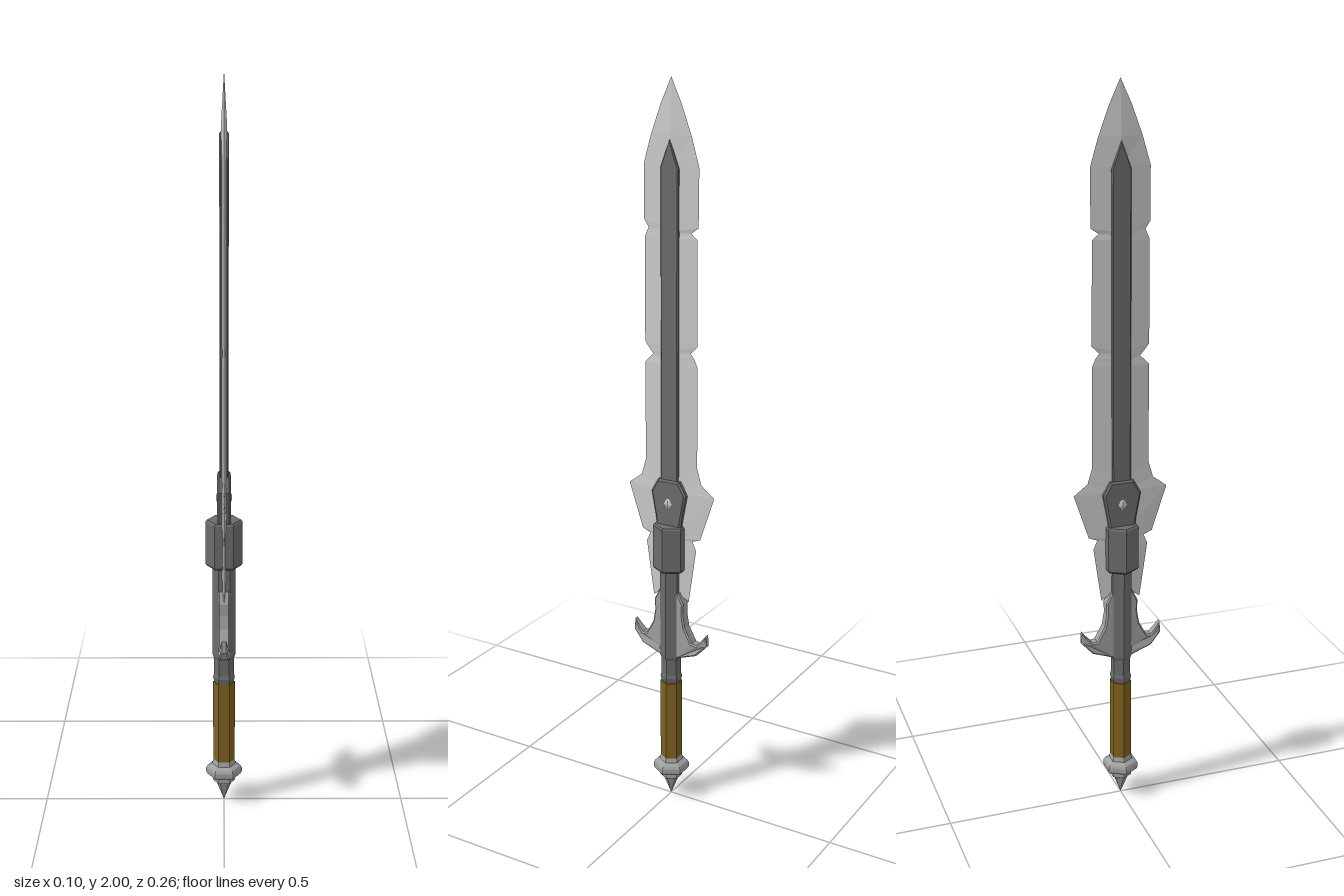
import * as THREE from 'three';

const mat = (color) => new THREE.MeshStandardMaterial({ color, flatShading: true });
const steel = mat(0xcccccc), guardSteel = mat(0xa0a0a0), dark = mat(0x6c6c6c), leather = mat(0x80601f);

function add(group, name, geometry, material) {
  const mesh = new THREE.Mesh(geometry, material);
  mesh.name = name;
  group.add(mesh);
  return mesh;
}

// Six-sided turned piece: profile of [radius, y], corners on the x axis
function hexLathe(profile) {
  const geo = new THREE.LatheGeometry(profile.map(([r, y]) => new THREE.Vector2(r, y)), 6, Math.PI / 2);
  return geo.toNonIndexed();
}

// Symmetric plate in the y-z plane from a half outline of [z, y], with bevelled rims
function plate(half, thickness, bevel) {
  const mirrored = half.filter(([z]) => z > 0).reverse().map(([z, y]) => [-z, y]);
  const shape = new THREE.Shape([...half, ...mirrored].map(([z, y]) => new THREE.Vector2(z, y)));
  const geo = new THREE.ExtrudeGeometry(shape, {
    depth: 2 * (thickness - bevel), bevelEnabled: bevel > 0, bevelSegments: 1,
    bevelThickness: bevel, bevelSize: bevel, bevelOffset: -bevel,
  });
  geo.translate(0, 0, -(thickness - bevel));
  return geo.rotateY(Math.PI / 2);
}

// Diamond-section blade: each edge outline is joined to a central ridge
function bladeGeometry(edges) {
  const pos = [];
  const ridge = (y, f) => [f * 0.008 * Math.min(1, (2 - y) / 0.14), Math.max(y, 0.65), 0];
  for (const s of [1, -1]) {
    const edge = s > 0 ? edges.left : edges.right;
    for (let i = 0; i < edge.length - 1; i++) {
      const [za, ya] = edge[i], [zb, yb] = edge[i + 1];
      for (const f of [1, -1]) {
        const a = [0, ya, s * za], b = [0, yb, s * zb];
        const ra = ridge(ya, f), rb = ridge(yb, f);
        const tris = [[a, b, rb]];
        if (i > 0) tris.push([a, rb, ra]);
        for (const t of tris) pos.push(...(s * f > 0 ? t : t.reverse()).flat());
      }
    }
  }
  const geo = new THREE.BufferGeometry();
  geo.setAttribute('position', new THREE.Float32BufferAttribute(pos, 3));
  geo.computeVertexNormals();
  return geo;
}

export function createModel() {
  const sword = new THREE.Group();
  sword.name = 'sword';

  // Blade with nicked edges and a flared base
  const tip = [[0, 2], [0.03, 1.935], [0.058, 1.86], [0.08, 1.785]];
  const base = [[0.079, 1.0], [0.092, 0.955], [0.131, 0.925], [0.09, 0.8], [0.066, 0.79],
    [0.077, 0.765], [0.055, 0.61], [0.03, 0.65]];
  const blade = bladeGeometry({
    left: [...tip, [0.08, 1.645], [0.067, 1.625], [0.078, 1.6],
      [0.079, 1.325], [0.067, 1.31], [0.054, 1.295], [0.079, 1.27], ...base],
    right: [...tip, [0.079, 1.635], [0.058, 1.62], [0.076, 1.605],
      [0.078, 1.33], [0.058, 1.31], [0.069, 1.295], [0.078, 1.275], ...base],
  });
  add(sword, 'blade', blade, steel);

  // Raised dark spine on both faces
  add(sword, 'spine', plate([[0.026, 0.9], [0.026, 1.78], [0, 1.85]], 0.012, 0.003), dark);

  // Gem setting and gem
  add(sword, 'gemSetting', plate(
    [[0.036, 0.82], [0.04, 0.85], [0.053, 0.92], [0.032, 0.957]], 0.018, 0.005), dark);
  const gem = new THREE.SphereGeometry(1, 10, 8);
  const p = gem.attributes.position;
  for (let i = 0; i < p.count; i++) {
    const y = p.getY(i), pinch = y < 0 ? 1 + 0.4 * y : 1;
    p.setXYZ(i, p.getX(i) * 0.022 * pinch, 0.89 + y * (y < 0 ? 0.044 : 0.03), p.getZ(i) * 0.021 * pinch);
  }
  gem.computeVertexNormals();
  add(sword, 'gem', gem, steel);

  // Hexagonal collar, shaft and grip
  const collar = hexLathe([[0, 0.7], [0.046, 0.7], [0.05, 0.705], [0.05, 0.825], [0.046, 0.83], [0, 0.83]]);
  add(sword, 'collar', collar, dark);
  add(sword, 'shaft', hexLathe([[0, 0.355], [0.026, 0.355], [0.03, 0.375], [0.027, 0.385],
    [0.027, 0.43], [0.031, 0.44], [0.031, 0.71], [0, 0.71]]), dark);
  add(sword, 'grip', hexLathe([[0, 0.125], [0.03, 0.125], [0.03, 0.36], [0, 0.36]]), leather);

  // Hooked crossguard, thinning towards the hooks
  const guard = plate([[0.03, 0.44], [0.085, 0.46], [0.115, 0.492], [0.113, 0.525], [0.1, 0.508],
    [0.085, 0.492], [0.072, 0.494], [0.05, 0.535], [0.044, 0.57], [0.045, 0.605], [0.03, 0.635]], 0.016, 0.004);
  const g = guard.attributes.position;
  for (let i = 0; i < g.count; i++) {
    const t = Math.max(0, (Math.abs(g.getZ(i)) - 0.08) / 0.035);
    g.setX(i, g.getX(i) * (1 - 0.55 * Math.min(1, t)));
  }
  guard.computeVertexNormals();
  add(sword, 'crossguard', guard, guardSteel);

  // Pommel disc with a spike
  add(sword, 'pommel', hexLathe([[0, 0], [0.022, 0.055], [0.031, 0.06], [0.031, 0.074], [0.047, 0.08],
    [0.05, 0.086], [0.05, 0.098], [0.046, 0.105], [0.033, 0.112], [0.028, 0.13], [0, 0.13]]), guardSteel);

  return sword;
}
